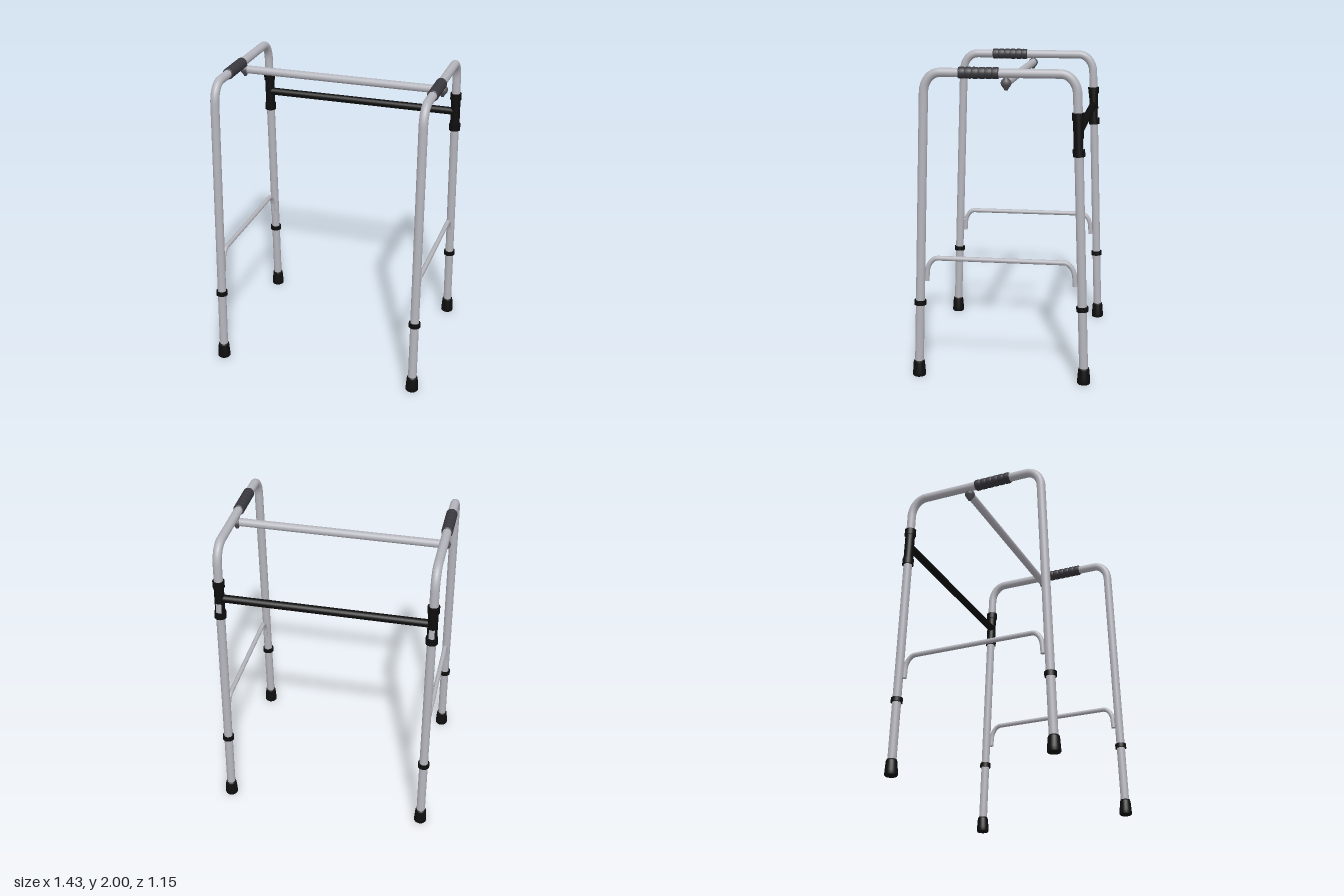
import * as THREE from 'three';

const V = (x, y, z) => new THREE.Vector3(x, y, z);
const SIDE_X = 0.672;
const TOP_Y = 1.962;
const legZ = (y) => 0.535 - 0.034 * y;

function makeMaterial(name, color) {
  const m = new THREE.MeshStandardMaterial({ color });
  m.name = name;
  return m;
}

export function createModel() {
  const silver = makeMaterial('silver tube', 0xb4b4bc);
  const black = makeMaterial('black rubber', 0x0d0d0d);
  const sleeveBlack = makeMaterial('black sleeve', 0x0e0e0e);
  sleeveBlack.side = THREE.DoubleSide;
  const gripGrey = makeMaterial('grip grey', 0x38383e);
  const knobGrey = makeMaterial('knob grey', 0x55555a);

  const model = new THREE.Group();
  model.name = 'walkingFrame';

  const add = (parent, name, geometry, material) => {
    const mesh = new THREE.Mesh(geometry, material);
    mesh.name = name;
    parent.add(mesh);
    return mesh;
  };

  // Arch in the side plane: two straight legs, two rounded corners, a flat top
  const arch = (foot, shoulder, corner, topZ) => {
    const path = new THREE.CurvePath();
    const [fz, fy] = foot, [sz, sy] = shoulder, [cz, cy] = corner;
    const k = 0.56;
    const bend = (s) => [
      V(0, sy, s * sz),
      V(0, sy + (cy - sy) * k, s * (sz + (cz - sz) * k)),
      V(0, cy, s * (topZ + (cz - topZ) * k)),
      V(0, cy, s * topZ),
    ];
    const a = bend(1), b = bend(-1).reverse();
    path.add(new THREE.LineCurve3(V(0, fy, fz), a[0]));
    path.add(new THREE.CubicBezierCurve3(...a));
    path.add(new THREE.LineCurve3(a[3], b[0]));
    path.add(new THREE.CubicBezierCurve3(...b));
    path.add(new THREE.LineCurve3(b[3], V(0, fy, -fz)));
    return path;
  };

  // Collar centred on a leg and tilted with it
  const collar = (parent, name, s, y, height, radius) => {
    const m = add(parent, name, new THREE.CylinderGeometry(radius, radius, height, 28), black);
    m.position.set(0, y, s * legZ(y));
    m.rotation.x = -s * 0.034;
    return m;
  };

  for (const side of [1, -1]) {
    const frame = new THREE.Group();
    frame.name = side > 0 ? 'leftFrame' : 'rightFrame';
    frame.position.x = side * SIDE_X;
    model.add(frame);

    // Main bent tube
    const main = arch([legZ(0.03), 0.03], [legZ(1.84), 1.84], [legZ(1.95), TOP_Y], 0.37);
    add(frame, 'mainTube', new THREE.TubeGeometry(main, 220, 0.0285, 20), silver);

    // Thin side brace with turned-down ends
    const brace = arch([0.472, 0.64], [0.467, 0.71], [0.455, 0.79], 0.4);
    add(frame, 'sideBrace', new THREE.TubeGeometry(brace, 110, 0.0155, 14), silver);
    for (const s of [1, -1]) {
      const cap = add(frame, 'braceEnd', new THREE.CircleGeometry(0.0155, 14), silver);
      cap.rotation.x = Math.PI / 2;
      cap.position.set(0, 0.64, s * 0.472);
    }

    // Ribbed hand grip
    const ribs = 6, length = 0.25;
    const profile = [new THREE.Vector2(0.027, 0)];
    for (let i = 0; i < ribs; i++) {
      for (const [t, r] of [[0.03, 0.033], [0.2, 0.0365], [0.8, 0.0365], [0.97, 0.033]]) {
        profile.push(new THREE.Vector2(r, ((i + t) / ribs) * length));
      }
    }
    profile.push(new THREE.Vector2(0.027, length));
    const grip = add(frame, 'handGrip', new THREE.LatheGeometry(profile, 28), gripGrey);
    grip.rotation.x = Math.PI / 2;
    grip.position.set(0, TOP_Y, 0.005);

    // Feet and height-adjustment collars
    for (const s of [1, -1]) {
      const footProfile = [
        [0, 0], [0.038, 0], [0.042, 0.006], [0.041, 0.03], [0.036, 0.092], [0.032, 0.104], [0.02, 0.104],
      ].map(([r, y]) => new THREE.Vector2(r, y));
      const foot = add(frame, 'rubberFoot', new THREE.LatheGeometry(footProfile, 28), black);
      foot.position.z = s * 0.533;
      collar(frame, 'legCollar', s, 0.495, 0.03, 0.038);
    }

    // Rear sleeve: two bands, a closed upper shell and a lower shell open at the back
    collar(frame, 'sleeveBand', -1, 1.708, 0.044, 0.038);
    collar(frame, 'sleeveBand', -1, 1.485, 0.044, 0.038);
    collar(frame, 'sleeveUpper', -1, 1.635, 0.12, 0.032);
    const gap = 0.6;
    const shell = add(frame, 'sleeveLower', new THREE.CylinderGeometry(
      0.032, 0.032, 0.09, 28, 1, true, Math.PI + gap, Math.PI * 2 - gap * 2), sleeveBlack);
    shell.position.set(0, 1.54, -legZ(1.54));
    shell.rotation.x = 0.034;

    // Knob hanging under the top tube that holds the front bar
    const knobProfile = [
      [0, 1.858], [0.01, 1.858], [0.014, 1.868], [0.03, 1.89], [0.034, 1.903], [0.03, 1.918], [0.016, 1.93], [0.014, 1.945],
    ].map(([r, y]) => new THREE.Vector2(r, y));
    const knob = add(frame, 'barKnob', new THREE.LatheGeometry(knobProfile, 24), knobGrey);
    knob.position.z = -0.038;
  }

  // Cross bars between the two side frames
  const crossBar = (name, y, z, radius, material) => {
    const bar = add(model, name, new THREE.CylinderGeometry(radius, radius, SIDE_X * 2, 24), material);
    bar.rotation.z = Math.PI / 2;
    bar.position.set(0, y, z);
  };
  crossBar('upperCrossBar', 1.903, -0.038, 0.0262, silver);
  crossBar('rearCrossBar', 1.6, -0.475, 0.0255, black);

  return model;
}
